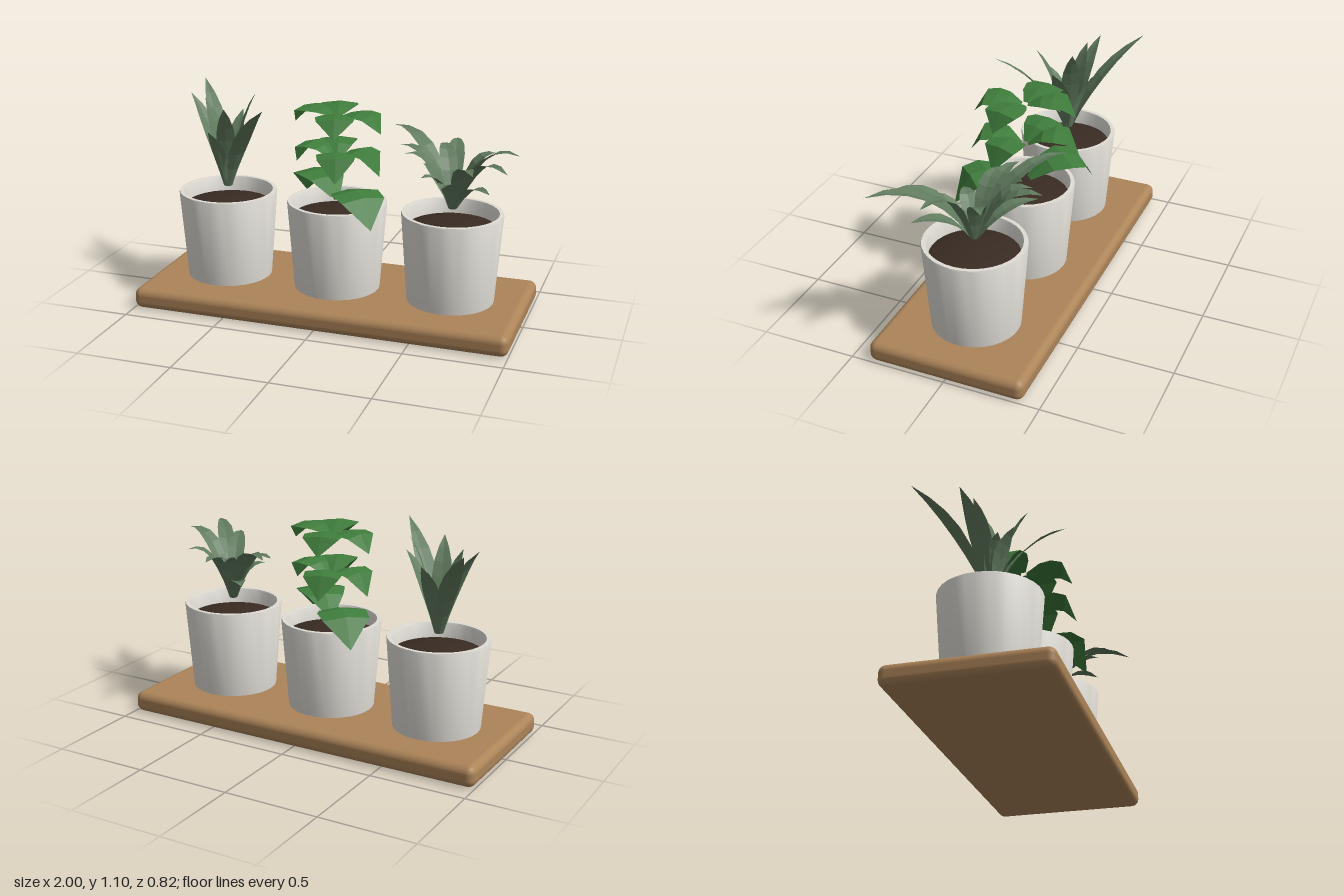
import * as THREE from 'three';
import { toCreasedNormals } from 'three/addons/utils/BufferGeometryUtils.js';
import { RoundedBoxGeometry } from 'three/addons/geometries/RoundedBoxGeometry.js';

const V = (x, y, z) => new THREE.Vector3(x, y, z);

function material(name, color, extra = {}) {
  const m = new THREE.MeshStandardMaterial({ color, ...extra });
  m.name = name;
  return m;
}

// Leaf blade: rows of [left edge, midrib, right edge] along a spine.
// fold > 0 lifts the edges, fold < 0 lets them hang.
function leafGeometry(spine, halfWidths, fold) {
  const out = spine[spine.length - 1].clone().sub(spine[0]).setY(0).normalize();
  const side = V(out.z, 0, -out.x);
  const pos = [], index = [];
  spine.forEach((p, i) => {
    for (const s of [-1, 0, 1]) {
      const q = p.clone().addScaledVector(side, s * halfWidths[i]);
      q.y += Math.abs(s) * fold * halfWidths[i];
      pos.push(q.x, q.y, q.z);
    }
    if (i === 0) return;
    for (const k of [0, 1]) {
      const a = (i - 1) * 3 + k, b = a + 1, c = a + 3, d = a + 4;
      index.push(a, c, b, b, c, d);
    }
  });
  const g = new THREE.BufferGeometry();
  g.setAttribute('position', new THREE.Float32BufferAttribute(pos, 3));
  g.setIndex(index);
  g.computeVertexNormals();
  return g;
}

// Narrow leaf bending from the crown to its tip
function bladeLeaf(tip, reach, lift, width) {
  const out = V(tip.x, 0, tip.z).normalize();
  const base = V(out.x * 0.02, 0.6, out.z * 0.02);
  const control = V(tip.x * reach, 0.6 + (tip.y - 0.6) * lift, tip.z * reach);
  const spine = new THREE.QuadraticBezierCurve3(base, control, tip).getPoints(6);
  const profile = [0.25, 0.6, 0.9, 1, 0.85, 0.5, 0];
  return leafGeometry(spine, profile.map((w) => w * width), 0.2);
}

// Broad leaf that rises to a wide shoulder and then drops to a point
function broadLeaf(angle, base, reach, rise, drop, width) {
  const rows = [[0.06, 0, 0.2], [0.32, 0.8, 0.75], [0.55, 1, 1], [0.78, 0.83, 0.93], [1, 0, 0]];
  const spine = rows.map(([r, h], i) => V(
    Math.sin(angle) * r * reach,
    i === 4 ? base - drop : base + h * rise,
    Math.cos(angle) * r * reach));
  return leafGeometry(spine, rows.map((r) => r[2] * width), -0.12);
}

export function createModel() {
  const root = new THREE.Group();
  root.name = 'plantedPots';

  const wood = material('wood', 0xac8459);
  const ceramic = material('ceramic', 0xe0ddd6);
  const earth = material('earth', 0x382b23);
  const leafy = { side: THREE.DoubleSide, flatShading: true };
  const sage = material('sageGreen', 0x627c60, leafy);
  const green = material('leafGreen', 0x3f7d3c, leafy);

  const add = (parent, name, geometry, mat) => {
    const m = new THREE.Mesh(geometry, mat);
    m.name = name;
    parent.add(m);
    return m;
  };

  // Board
  add(root, 'board', new RoundedBoxGeometry(2, 0.11, 0.82, 4, 0.04), wood).position.y = 0.055;

  // Pot wall with a softened rim, and a slightly domed bed of soil
  const lathe = (points) => new THREE.LatheGeometry(
    points.map(([r, y]) => new THREE.Vector2(r, y)), 32);
  const potGeometry = toCreasedNormals(lathe([[0, 0.11], [0.226, 0.11], [0.261, 0.572],
    [0.258, 0.58], [0.238, 0.58], [0.234, 0.572], [0.226, 0.47]]), 0.9);
  const soilGeometry = lathe([[0.23, 0.5], [0.17, 0.515], [0.09, 0.527], [0, 0.53]]);

  const planters = ['right', 'middle', 'left'].map((where, i) => {
    const g = new THREE.Group();
    g.name = where + 'Planter';
    g.position.x = (i - 1) * 0.615;
    add(g, 'pot', potGeometry, ceramic);
    add(g, 'soil', soilGeometry, earth);
    root.add(g);
    return g;
  });

  // Upright plant: tip positions measured from the pot axis
  const uprightTips = [
    [-0.265, 1.1, -0.33], [-0.24, 1.07, -0.09], [0.14, 1.1, -0.07], [0.325, 1.1, 0.3],
    [0.2, 1.0, 0.02], [-0.14, 1.06, -0.05], [0.02, 0.98, -0.18], [0.06, 1.06, 0.17],
    [-0.05, 0.92, 0.13], [-0.09, 0.88, 0.06], [0.12, 0.88, 0.1],
  ];
  for (const t of uprightTips) {
    add(planters[0], 'uprightLeaf', bladeLeaf(V(...t), 0.33, 0.64, 0.05), sage);
  }

  // Arching plant: long, middle and short leaves that droop at the tip
  const archingTips = [
    [-0.4, 0.93, -0.31], [-0.06, 0.88, -0.33], [0.35, 0.93, 0.1], [0.345, 0.92, 0.39],
    [-0.31, 0.88, -0.1], [0.17, 0.88, 0.34], [0.2, 0.87, -0.13], [-0.12, 0.87, -0.25],
    [-0.26, 0.86, -0.02], [0, 0.78, 0.27], [-0.14, 0.78, 0.12], [0.23, 0.76, 0.22],
    [-0.22, 0.75, -0.24],
  ];
  for (const t of archingTips) {
    add(planters[2], 'archingLeaf', bladeLeaf(V(...t), 0.4, 1.18, 0.046), sage);
  }

  // Broad-leaved plant: three tiers of opposite leaves
  // [angle from front, base height, reach, rise, drop, half width]
  const broadLeaves = [
    [0.77, 0.595, 0.385, 0.1, 0.065, 0.128],
    [0.28, 0.805, 0.28, 0.075, 0.055, 0.1],
    [1.29, 0.805, 0.26, 0.075, 0.055, 0.1],
    [0.25, 1.03, 0.26, 0.04, 0.06, 0.1],
    [1.32, 1.03, 0.26, 0.04, 0.06, 0.1],
  ];
  for (const [angle, ...shape] of broadLeaves) {
    for (const turn of [0, Math.PI]) {
      add(planters[1], 'broadLeaf', broadLeaf(angle + turn, ...shape), green);
    }
  }

  return root;
}
